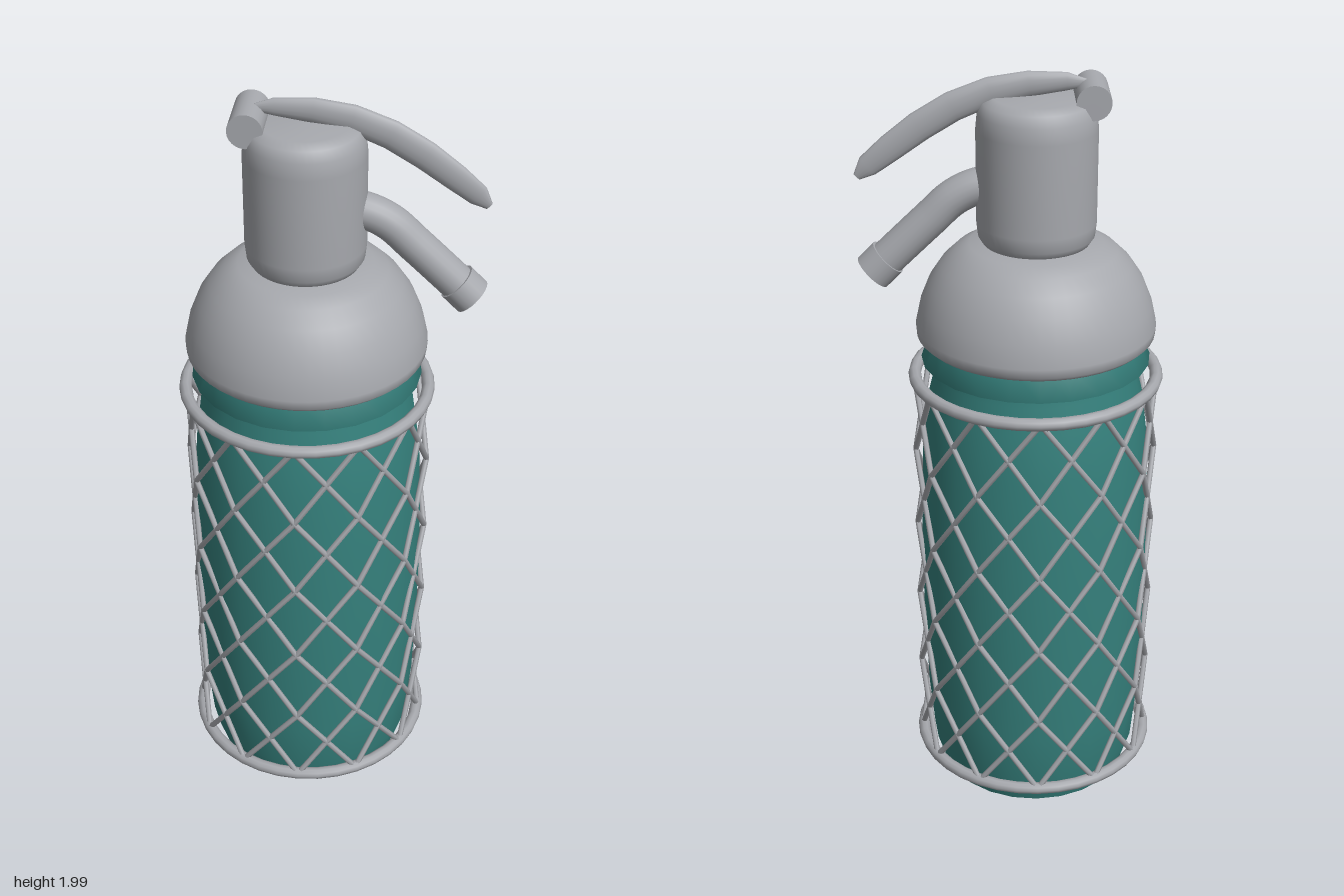
import * as THREE from 'three';

const AXIS_X = -0.06;

export function createModel() {
  const group = new THREE.Group();
  const metal = new THREE.MeshStandardMaterial({ color: 0xa6a8ad, side: THREE.DoubleSide });
  metal.name = 'grey metal';
  const glass = new THREE.MeshStandardMaterial({ color: 0x35807c, side: THREE.DoubleSide });
  glass.name = 'teal glass';

  const add = (name, geometry, material, x = 0, y = 0, z = 0) => {
    const mesh = new THREE.Mesh(geometry, material);
    mesh.name = name;
    mesh.position.set(x, y, z);
    group.add(mesh);
    return mesh;
  };
  const lathe = (points, sides) =>
    new THREE.LatheGeometry(points.map(([r, y]) => new THREE.Vector2(r, y)), sides);
  const v = (x, y, z = 0) => new THREE.Vector3(x, y, z);

  // Glass bottle: pointed base, gently swelling wall
  add('bottleBase', lathe([[0, 0.005], [0.25, 0.06]], 24), glass, AXIS_X);
  add('bottle', lathe([
    [0.25, 0.06], [0.275, 0.14], [0.288, 0.28], [0.296, 0.5], [0.298, 0.68],
    [0.296, 0.86], [0.288, 1.05], [0.272, 1.17], [0.255, 1.24], [0.25, 1.28],
  ], 24), glass, AXIS_X);
  // Flared glass collar under the shoulder
  add('bottleCollar', lathe([[0.25, 1.275], [0.288, 1.272], [0.255, 1.34]], 24), glass, AXIS_X);

  // Domed shoulder and valve head
  add('shoulder', lathe([
    [0.24, 1.33], [0.285, 1.33], [0.298, 1.342], [0.3, 1.365], [0.288, 1.42], [0.266, 1.475],
    [0.236, 1.52], [0.2, 1.555], [0.165, 1.573], [0.12, 1.58],
  ], 48), metal, AXIS_X);
  add('valveHead', lathe([
    [0.11, 1.565], [0.13, 1.575], [0.143, 1.595], [0.147, 1.63], [0.147, 1.86],
    [0.143, 1.9], [0.13, 1.925], [0.105, 1.937], [0, 1.94],
  ], 48), metal, AXIS_X);

  // Hinge barrel across the back of the head
  const hinge = add('hinge', new THREE.CylinderGeometry(0.042, 0.042, 0.14, 24), metal, -0.19, 1.938);
  hinge.rotation.x = Math.PI / 2;

  // Wire cage: end rings and two families of crossing strands
  const CAGE_R = 0.308, STRANDS = 12, ROWS = 5, LOW = 0.14, HIGH = 1.225;
  for (const [name, y] of [['lowerRing', LOW], ['upperRing', HIGH]]) {
    const ring = add(name, new THREE.TorusGeometry(0.306, 0.016, 10, 36), metal, AXIS_X, y);
    ring.rotation.x = Math.PI / 2;
  }
  const step = (Math.PI * 2) / STRANDS;
  for (const turn of [1, -1]) {
    for (let s = 0; s < STRANDS; s++) {
      const path = new THREE.CurvePath();
      const node = (i) => {
        const a = step * (s + turn * i);
        return v(CAGE_R * Math.cos(a), LOW + ((HIGH - LOW) * i) / ROWS, CAGE_R * Math.sin(a));
      };
      for (let i = 0; i < ROWS; i++) path.add(new THREE.LineCurve3(node(i), node(i + 1)));
      add('cageWire', new THREE.TubeGeometry(path, ROWS * 2, 0.0075, 6), metal, AXIS_X);
    }
  }

  // Curved spout with a collar at its mouth
  const spoutPath = new THREE.CatmullRomCurve3([
    v(0.0, 1.725), v(0.08, 1.718), v(0.14, 1.69), v(0.2, 1.635), v(0.315, 1.525),
  ]);
  add('spout', new THREE.TubeGeometry(spoutPath, 24, 0.045, 20), metal);
  const mouth = add('spoutMouth', new THREE.CylinderGeometry(0.05, 0.05, 0.055, 24), metal, 0.323, 1.518);
  mouth.quaternion.setFromUnitVectors(v(0, 1, 0), v(0.7, -0.7).normalize());

  // Lever: thin oval sections lofted along an arc, [x, y, half height, half width]
  const sections = [
    [-0.18, 1.968, 0.008, 0.004], [-0.13, 1.972, 0.022, 0.012], [-0.04, 1.967, 0.031, 0.016],
    [0.05, 1.95, 0.035, 0.018], [0.14, 1.914, 0.037, 0.018], [0.22, 1.866, 0.037, 0.018],
    [0.29, 1.814, 0.034, 0.016], [0.345, 1.77, 0.028, 0.012], [0.372, 1.743, 0.01, 0.004],
  ];
  const SIDES = 16;
  const positions = [], indices = [];
  sections.forEach(([x, y, h, w], i) => {
    const before = sections[Math.max(i - 1, 0)];
    const after = sections[Math.min(i + 1, sections.length - 1)];
    const tilt = Math.atan2(after[1] - before[1], after[0] - before[0]);
    for (let j = 0; j < SIDES; j++) {
      const a = (j / SIDES) * Math.PI * 2;
      const up = h * Math.cos(a);
      positions.push(x - up * Math.sin(tilt), y + up * Math.cos(tilt), w * Math.sin(a));
      if (i === 0) continue;
      const k = (j + 1) % SIDES, p = (i - 1) * SIDES, q = i * SIDES;
      indices.push(p + j, p + k, q + j, p + k, q + k, q + j);
    }
  });
  const last = (sections.length - 1) * SIDES;
  for (let j = 1; j < SIDES - 1; j++) {
    indices.push(0, j + 1, j, last, last + j, last + j + 1);
  }
  const lever = new THREE.BufferGeometry();
  lever.setAttribute('position', new THREE.Float32BufferAttribute(positions, 3));
  lever.setIndex(indices);
  lever.computeVertexNormals();
  add('lever', lever, metal);

  return group;
}
